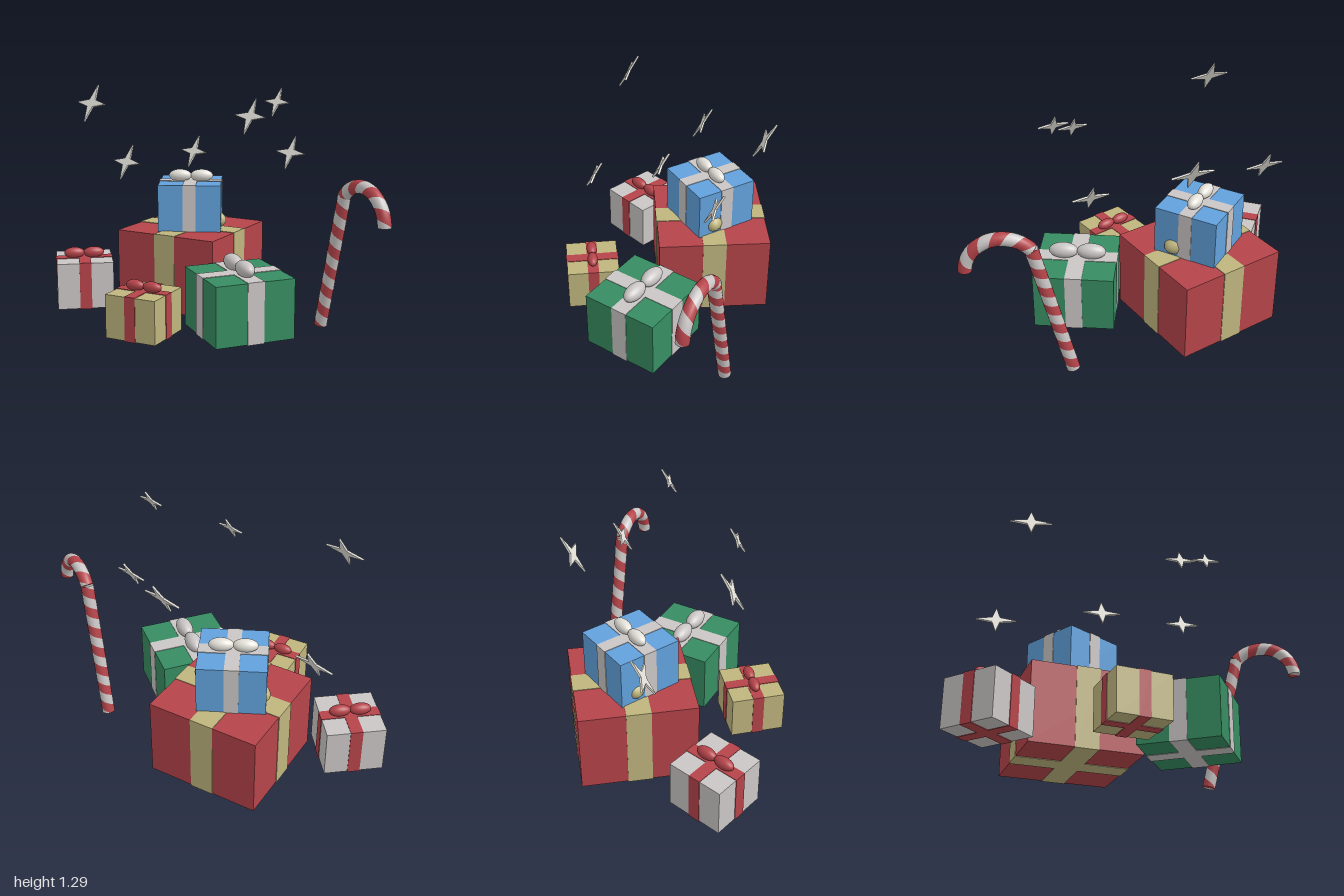
import * as THREE from 'three';

const mat = (name, color, side = THREE.FrontSide) => {
  const m = new THREE.MeshStandardMaterial({ color, side });
  m.name = name;
  return m;
};

export function createModel() {
  const red = mat('red', 0xb5444a);
  const blue = mat('blue', 0x62a1dc);
  const green = mat('green', 0x378d62);
  const gold = mat('gold', 0xbfb57e);
  const white = mat('white', 0xcac6c5);
  const ivory = mat('ivory', 0xe2e0d8);

  const model = new THREE.Group();
  model.name = 'holidayGifts';

  const add = (parent, name, geometry, material, x = 0, y = 0, z = 0) => {
    const mesh = new THREE.Mesh(geometry, material);
    mesh.name = name;
    mesh.position.set(x, y, z);
    parent.add(mesh);
    return mesh;
  };

  // Gift: a box, two crossing ribbon bands and a bow of two rounded lobes
  function gift(name, x, z, y0, y1, s, turn, boxMat, ribbonMat, bowMat) {
    const g = new THREE.Group();
    g.name = name;
    g.position.set(x, y0, z);
    g.rotation.y = turn;
    const h = y1 - y0, w = s * 0.21, out = 0.006;
    add(g, 'box', new THREE.BoxGeometry(s, h, s), boxMat, 0, h / 2, 0);
    add(g, 'ribbonLengthwise', new THREE.BoxGeometry(w, h + out, s + out), ribbonMat, 0, h / 2, 0);
    add(g, 'ribbonCrosswise', new THREE.BoxGeometry(s + out, h + out, w), ribbonMat, 0, h / 2, 0);
    for (const side of [-1, 1]) {
      const lobe = add(g, side > 0 ? 'bowLobeLeft' : 'bowLobeRight',
        new THREE.SphereGeometry(1, 24, 16), bowMat, side * s * 0.175, h + s * 0.085, 0);
      lobe.scale.set(s * 0.185, s * 0.1, s * 0.1);
    }
    model.add(g);
  }
  gift('largeRedGift', -0.288, -0.061, 0.061, 0.49, 0.598, 0.197, red, gold, gold);
  gift('blueGift', -0.29, -0.057, 0.49, 0.748, 0.343, 0.66, blue, white, ivory);
  gift('greenGift', 0.286, 0.228, 0.061, 0.376, 0.427, -0.48, green, white, white);
  gift('whiteGift', -0.72, 0.37, 0.061, 0.318, 0.309, 0.87, white, red, red);
  gift('goldGift', -0.058, 0.57, 0.061, 0.289, 0.284, 0.25, gold, red, red);

  // Candy cane: twisted tubes, half of the strips red and half white
  const cane = new THREE.Group();
  cane.name = 'candyCane';
  cane.position.set(0.487, 0, -0.226);
  cane.rotation.y = -0.35;
  model.add(cane);

  function twistedTube(pointAt, tangentAt, rings, turns, radius, first, count) {
    const sides = 16, pos = [], normal = [], index = [];
    const vert = (p, n) => {
      pos.push(p.x, p.y, p.z);
      normal.push(n.x, n.y, n.z);
      return pos.length / 3 - 1;
    };
    const ringPoint = (i, j) => {
      const t = i / rings, d = tangentAt(t);
      const a = ((first + j) / sides + t * turns) * Math.PI * 2;
      const n = new THREE.Vector3(d.y * Math.cos(a), -d.x * Math.cos(a), Math.sin(a));
      return [n.clone().multiplyScalar(radius).add(pointAt(t)), n];
    };
    for (let i = 0; i <= rings; i++)
      for (let j = 0; j <= count; j++) vert(...ringPoint(i, j));
    for (let i = 0; i < rings; i++)
      for (let j = 0; j < count; j++) {
        const a = i * (count + 1) + j, b = a + count + 1;
        index.push(a, b, a + 1, a + 1, b, b + 1);
      }
    // End caps
    for (const end of [0, 1]) {
      const n = tangentAt(end).clone().multiplyScalar(end ? 1 : -1);
      const c = vert(pointAt(end), n);
      for (let j = 0; j <= count; j++) vert(ringPoint(end * rings, j)[0], n);
      for (let j = 1; j <= count; j++)
        index.push(c, ...(end ? [c + j + 1, c + j] : [c + j, c + j + 1]));
    }
    const g = new THREE.BufferGeometry();
    g.setAttribute('position', new THREE.Float32BufferAttribute(pos, 3));
    g.setAttribute('normal', new THREE.Float32BufferAttribute(normal, 3));
    g.setIndex(index);
    return g;
  }

  const foot = new THREE.Vector3(0, 0.03, 0), neck = new THREE.Vector3(0.18, 0.768, 0);
  const up = neck.clone().sub(foot).normalize();
  const a0 = 2.44, a1 = 0.05, R = 0.182;
  const angle = (t) => a0 + (a1 - a0) * t;
  const hookPoint = (t) =>
    new THREE.Vector3(0.319 + R * Math.cos(angle(t)), 0.647 + R * Math.sin(angle(t)), 0);
  const hookTangent = (t) => new THREE.Vector3(Math.sin(angle(t)), -Math.cos(angle(t)), 0);
  const stripeMats = [mat('caneRed', 0xb5444a, THREE.DoubleSide), mat('caneWhite', 0xcac6c5, THREE.DoubleSide)];
  stripeMats.forEach((m, k) => {
    const label = k ? 'White' : 'Red';
    add(cane, 'staff' + label, twistedTube((t) => foot.clone().lerp(neck, t), () => up,
      96, 6.6, 0.035, k * 8, 8), m);
    add(cane, 'hook' + label, twistedTube(hookPoint, hookTangent, 60, 3.6, 0.035, k * 8, 8), m);
  });

  // Floating four-pointed stars, leaning back
  const star = new THREE.Shape();
  for (let i = 0; i < 8; i++) {
    const r = i % 2 ? 0.27 : 1, a = (i * Math.PI) / 4;
    star[i ? 'lineTo' : 'moveTo'](r * Math.cos(a), r * Math.sin(a));
  }
  star.closePath();
  const starGeo = new THREE.ExtrudeGeometry(star, { depth: 1, bevelEnabled: false });
  starGeo.translate(0, 0, -0.5);
  [
    [-0.567, 1.198, 0.428, 0.109],
    [-0.096, 1.098, -0.342, 0.112],
    [0.428, 1.243, 0.115, 0.077],
    [0.203, 1.018, 0.478, 0.081],
    [0.337, 0.956, -0.132, 0.094],
    [-0.711, 0.82, 0.03, 0.109],
  ].forEach(([x, y, z, r], i) => {
    const s = add(model, 'star' + (i + 1), starGeo, ivory, x, y, z);
    s.scale.set(r, r, 0.01);
    s.rotation.x = -0.52;
  });

  return model;
}
